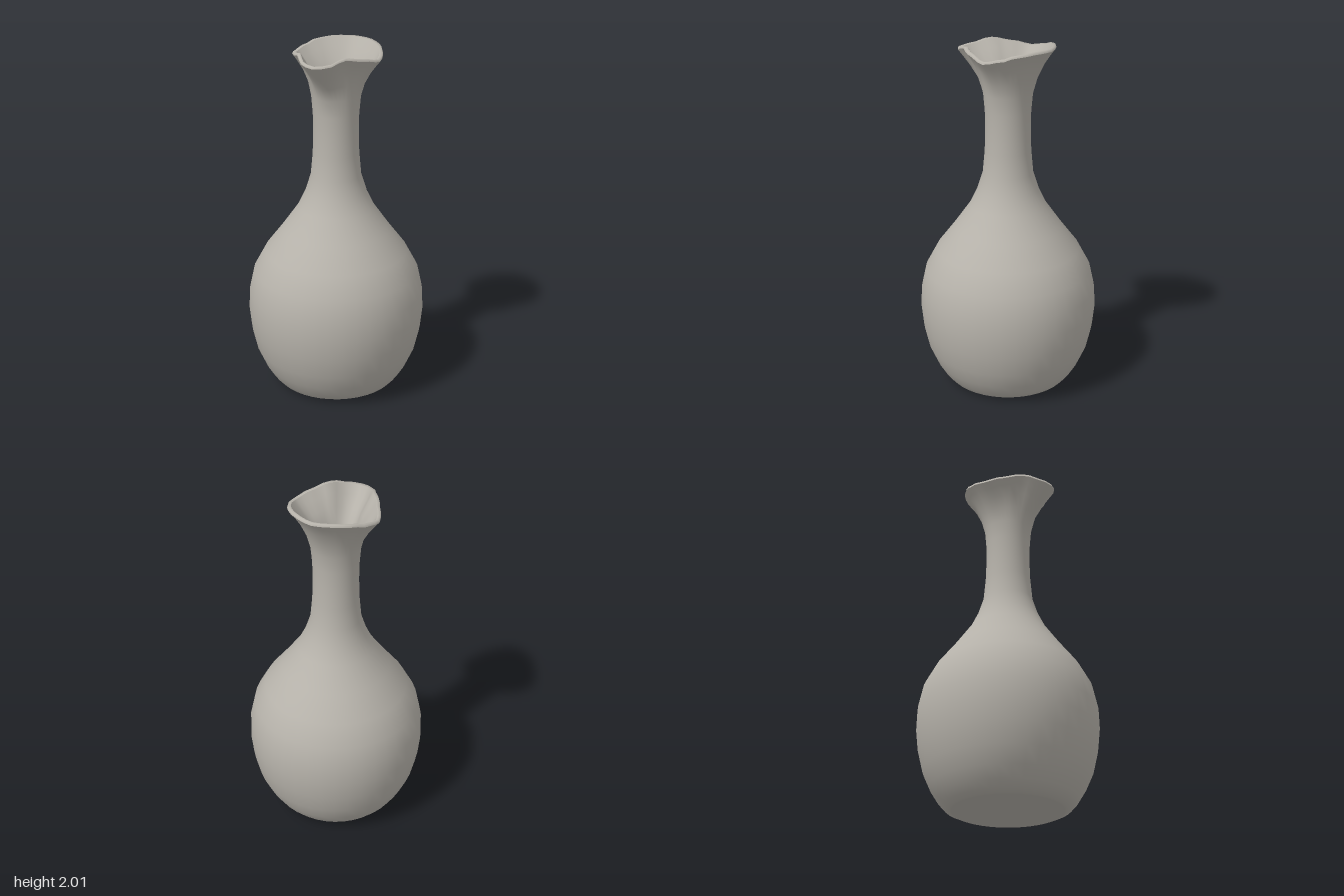
import * as THREE from 'three';
import { mergeVertices } from 'three/addons/utils/BufferGeometryUtils.js';

const SEGMENTS = 40;

// Rim shape by angle from the front spout: [degrees, radius, height]
const RIM = [
  [0, 0.31, 1.95], [12, 0.298, 1.955], [34, 0.242, 1.985], [64, 0.232, 1.965], [90, 0.256, 1.945],
  [113, 0.256, 1.965], [132, 0.258, 1.988], [158, 0.264, 1.998], [180, 0.275, 1.998],
];
const RIM_RADIUS = 0.26, RIM_HEIGHT = 1.97;

function rimAt(angle) {
  const deg = Math.abs(THREE.MathUtils.radToDeg(angle));
  let i = 0;
  while (i < RIM.length - 2 && deg > RIM[i + 1][0]) i++;
  const [d0, r0, y0] = RIM[i], [d1, r1, y1] = RIM[i + 1];
  const t = THREE.MathUtils.clamp((deg - d0) / (d1 - d0), 0, 1);
  const s = t * t * (3 - 2 * t);
  return [THREE.MathUtils.lerp(r0, r1, t), THREE.MathUtils.lerp(y0, y1, s)];
}

// Turns a profile, then pulls its flared top into the wavy, spouted rim
function turned(name, points, material) {
  const profile = points.map(([r, y]) => new THREE.Vector2(r, y));
  let geometry = new THREE.LatheGeometry(profile, SEGMENTS);
  geometry.deleteAttribute('uv');
  geometry.deleteAttribute('normal');
  const pos = geometry.attributes.position;
  for (let i = 0; i < pos.count; i++) {
    const x = pos.getX(i), y = pos.getY(i), z = pos.getZ(i);
    if (y < 1.7) continue;
    const angle = Math.atan2(x, z);
    const w = THREE.MathUtils.smoothstep(y, 1.7, RIM_HEIGHT);
    const [rimR, rimY] = rimAt(angle);
    const r = Math.hypot(x, z) + w * (rimR - RIM_RADIUS);
    pos.setXYZ(i, r * Math.sin(angle), y + w * (rimY - RIM_HEIGHT), r * Math.cos(angle));
  }
  geometry = mergeVertices(geometry, 1e-5);
  geometry.computeVertexNormals();
  const mesh = new THREE.Mesh(geometry, material);
  mesh.name = name;
  return mesh;
}

export function createModel() {
  const model = new THREE.Group();
  model.name = 'vase';
  const clay = new THREE.MeshStandardMaterial({ color: 0xb7b3ab });
  clay.name = 'warm grey clay';

  // Outer wall: round belly, slim neck, flared mouth
  model.add(turned('outerWall', [
    [0.315, 0.004], [0.35, 0.02], [0.385, 0.06], [0.425, 0.125], [0.467, 0.22], [0.495, 0.34], [0.507, 0.455],
    [0.503, 0.575], [0.475, 0.7], [0.41, 0.82], [0.31, 0.95], [0.218, 1.08], [0.175, 1.17],
    [0.143, 1.27], [0.131, 1.4], [0.127, 1.52], [0.129, 1.63], [0.138, 1.73],
    [0.162, 1.81], [0.198, 1.88], [0.232, 1.93], [0.26, 1.965],
  ], clay));

  // Thin lip joining the outer and inner walls
  model.add(turned('lip', [[0.26, 1.965], [0.256, 1.978], [0.24, 1.976]], clay));

  // Inner wall: funnel, throat and hollow belly down to the floor
  model.add(turned('innerWall', [
    [0.24, 1.976], [0.208, 1.93], [0.165, 1.87], [0.13, 1.8], [0.11, 1.72], [0.101, 1.62],
    [0.1, 1.4], [0.115, 1.27], [0.19, 1.08], [0.38, 0.82], [0.47, 0.575], [0.47, 0.4],
    [0.42, 0.18], [0.33, 0.04],
  ], clay));
  model.add(turned('innerFloor', [[0.33, 0.04], [0, 0.04]], clay));

  // Flat foot
  model.add(turned('foot', [[0, 0], [0.305, 0], [0.315, 0.004]], clay));
  return model;
}
